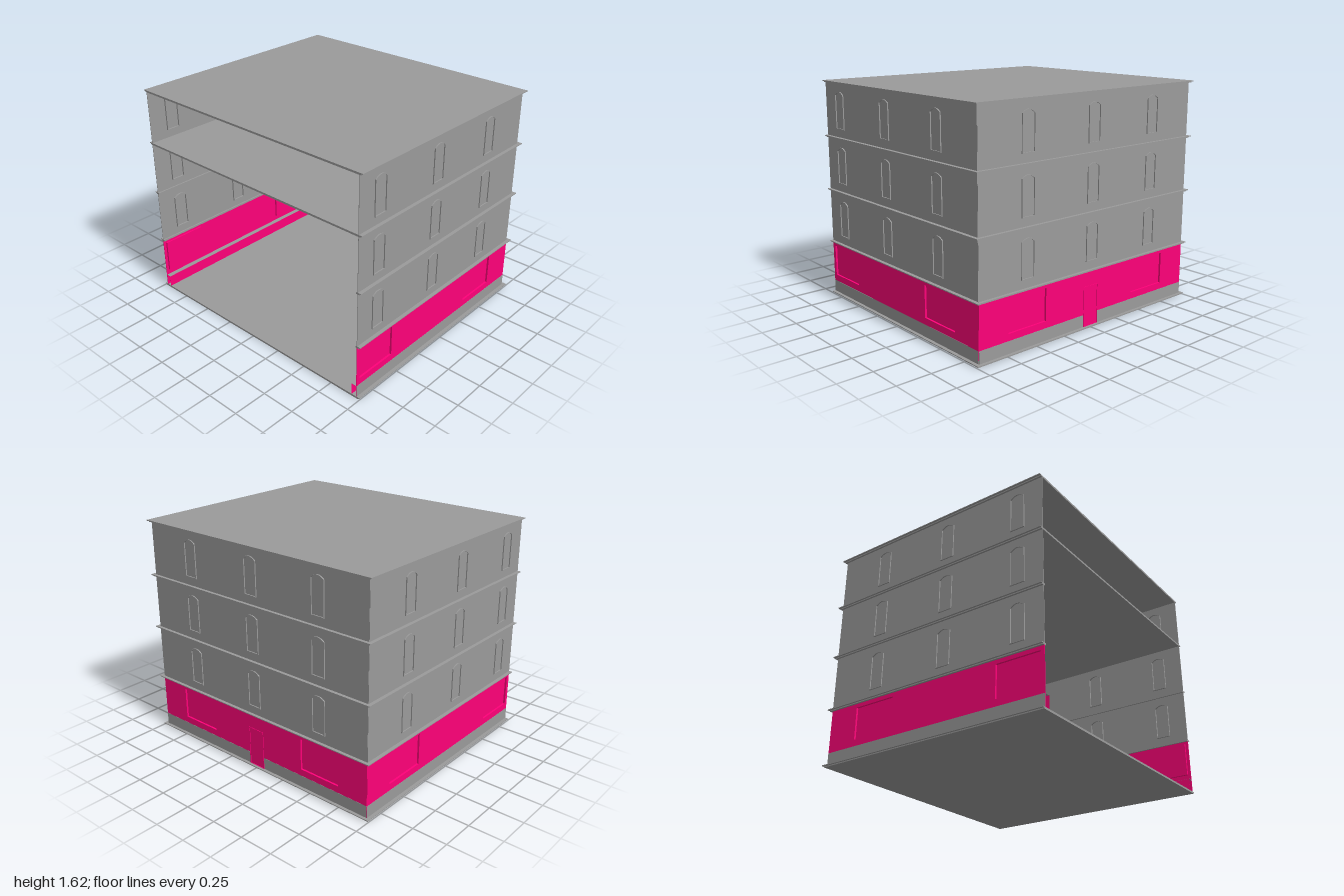
import * as THREE from 'three';

const grey = new THREE.MeshStandardMaterial({ color: 0x9b9b9b });
const pink = new THREE.MeshStandardMaterial({ color: 0xff0079 });

const X = 0.973, BACK = -0.862, FRONT = 0.885, T = 0.004;

// Stepped edge of floors and mouldings: [x extent, back z, bottom, top]
const STEPS = [[0.988, -0.876, 0, 0.008], [1, -0.886, 0.008, 0.014]];

function box(parent, name, mat, x0, x1, y0, y1, z0, z1) {
  const m = new THREE.Mesh(new THREE.BoxGeometry(x1 - x0, y1 - y0, z1 - z0), mat);
  m.position.set((x0 + x1) / 2, (y0 + y1) / 2, (z0 + z1) / 2);
  m.name = name;
  parent.add(m);
}

// Outline of an opening, with an optional shallow arch on top
function outline(Type, x0, x1, y0, y1, rise) {
  const p = new Type();
  p.moveTo(x0, y0);
  p.lineTo(x1, y0);
  p.lineTo(x1, y1 - rise);
  if (rise) p.quadraticCurveTo((x0 + x1) / 2, y1 + rise, x0, y1 - rise);
  else p.lineTo(x0, y1);
  p.closePath();
  return p;
}

function extrude(parent, name, mat, shape, z0, z1) {
  const g = new THREE.ExtrudeGeometry(shape, { depth: z1 - z0, bevelEnabled: false, curveSegments: 8 });
  g.translate(0, 0, z0);
  const m = new THREE.Mesh(g, mat);
  m.name = name;
  parent.add(m);
}

// Thin frame that passes through the wall
function frame(parent, name, mat, x0, x1, y0, y1, rise, z0, z1) {
  const e = 0.006;
  const s = outline(THREE.Shape, x0, x1, y0, y1, rise);
  s.holes.push(outline(THREE.Path, x0 + e, x1 - e, y0 + e, y1 - e, rise));
  extrude(parent, name, mat, s, z0, z1);
}

// One wall in its own plane: x along the wall, +z outward
function wall(name, x0, x1, windows, panels, door) {
  const g = new THREE.Group();
  g.name = name;
  box(g, 'upperWall', grey, x0, x1, 0.405, 1.61, -T / 2, T / 2);

  // Ground floor with shop windows set back from the outside
  const ground = outline(THREE.Shape, x0, x1, 0.012, 0.405, 0);
  for (const c of panels) {
    const [a, b, y0, y1] = [c - 0.168, c + 0.168, 0.142, 0.382];
    ground.holes.push(outline(THREE.Path, a, b, y0, y1, 0));
    frame(g, 'shopWindowFrame', pink, a, b, y0, y1, 0, -0.016, T / 2);
    box(g, 'shopWindowPane', pink, a, b, y0, y1, -0.016, -0.012);
  }
  extrude(g, 'groundFloorWall', pink, ground, -T / 2, T / 2);

  // Plinth of thin sheets with a ledge inside, left open at the door
  const runs = door ? [[x0, -0.068], [0.068, x1]] : [[x0, x1]];
  for (const [a, b] of runs) {
    box(g, 'plinthOuterFace', grey, a, b, 0.012, 0.1, T / 2, T / 2 + 0.001);
    box(g, 'plinthLedge', grey, a, b, 0.099, 0.1, -0.04, -T / 2);
    box(g, 'plinthInnerFace', pink, a, b, 0.012, 0.099, -0.04, -0.039);
  }

  // Arched windows on three storeys
  for (let storey = 0; storey < 3; storey++) {
    const y = 0.475 + storey * 0.402;
    for (const c of windows) frame(g, 'windowFrame', grey, c - 0.054, c + 0.054, y, y + 0.27, 0.022, -0.014, 0.01);
  }

  // Door frame and the plinth returns beside it
  if (door) {
    frame(g, 'doorFrame', pink, -0.067, 0.067, 0.01, 0.3, 0, -0.014, 0.006);
    for (const s of [-1, 1]) box(g, 'plinthReturn', grey, s * 0.071 - 0.004, s * 0.071 + 0.004, 0.012, 0.1, -0.042, -T / 2);
  }
  return g;
}

// Stepped floor slab
function slab(parent, name, y) {
  for (const [x, z, y0, y1] of STEPS) box(parent, name, grey, -x, x, y + y0, y + y1, z, FRONT);
}

// Stepped moulding around three walls, with no floor inside
function moulding(parent, y) {
  const inner = 0.96;
  for (const [x, z, y0, y1] of STEPS) {
    box(parent, 'leftMoulding', grey, inner, x, y + y0, y + y1, z, FRONT);
    box(parent, 'rightMoulding', grey, -x, -inner, y + y0, y + y1, z, FRONT);
    box(parent, 'backMoulding', grey, -inner, inner, y + y0, y + y1, z, BACK + 0.012);
  }
}

export function createModel() {
  const model = new THREE.Group();
  model.name = 'openFrontBuilding';

  // Side walls, mirrored about x = 0
  const windowZ = [0.693, 0.115, -0.463], panelZ = [0.695, -0.465];
  for (const s of [1, -1]) {
    const along = (z) => -s * z;
    const ends = [along(FRONT), along(BACK)].sort((a, b) => a - b);
    const w = wall(s > 0 ? 'leftWall' : 'rightWall', ends[0], ends[1], windowZ.map(along), panelZ.map(along), false);
    w.rotation.y = s * Math.PI / 2;
    w.position.x = s * X;
    model.add(w);
  }

  // Back wall with the door
  const back = wall('backWall', -X, X, [-0.578, 0, 0.578], [-0.577, 0.577], true);
  back.rotation.y = Math.PI;
  back.position.z = BACK;
  model.add(back);

  // Floors, roof and mouldings
  slab(model, 'baseFloor', 0);
  moulding(model, 0.403);
  moulding(model, 0.805);
  slab(model, 'upperFloor', 1.206);
  slab(model, 'roof', 1.606);
  return model;
}
